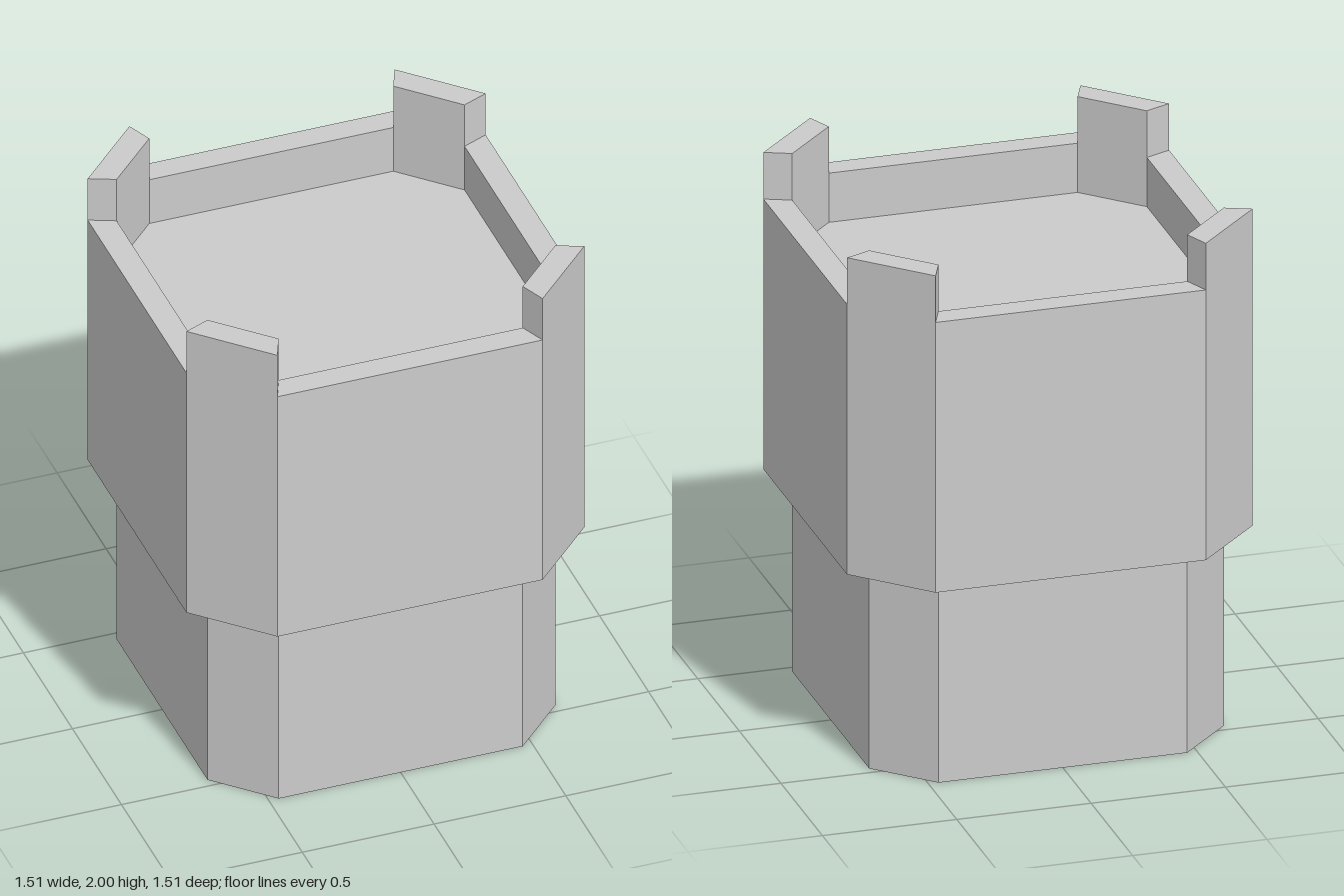
import * as THREE from 'three';

const material = new THREE.MeshStandardMaterial({ color: 0xcccccc, flatShading: true });

// Chamfered square: half width w, flat sides spanning -c..c
const ring = (w, c) => [[w, c], [c, w], [-c, w], [-w, c], [-w, -c], [-c, -w], [c, -w], [w, -c]];
const inner = ring(0.66, 0.463);
const outer = ring(0.755, 0.503);

const LEDGE = 0.777, FLOOR = 1.63, WALL = 1.82, TOP = 2;

// Mesh from a list of four-cornered faces
function quadMesh(name, quads) {
  const geometry = new THREE.BufferGeometry();
  const points = quads.flatMap(([a, b, c, d]) => [a, b, c, a, c, d].flat());
  geometry.setAttribute('position', new THREE.Float32BufferAttribute(points, 3));
  geometry.computeVertexNormals();
  const mesh = new THREE.Mesh(geometry, material);
  mesh.name = name;
  return mesh;
}

// One side's strip of faces along a profile of [ring, height] steps
function strip(i, profile) {
  const j = (i + 1) % 8;
  const at = ([r, y], k) => [r[k][0], y, r[k][1]];
  return profile.slice(1).map((next, n) => {
    const prev = profile[n];
    return [at(prev, j), at(prev, i), at(next, i), at(next, j)];
  });
}

// Flat octagonal cap facing up (1) or down (-1)
function cap(name, y, facing) {
  const shape = new THREE.Shape(inner.map(([x, z]) => new THREE.Vector2(x, z)));
  const geometry = new THREE.ShapeGeometry(shape);
  geometry.rotateX(-facing * Math.PI / 2).translate(0, y, 0);
  const mesh = new THREE.Mesh(geometry, material);
  mesh.name = name;
  return mesh;
}

// End face of a corner post, at ring point k
function postEnd(k, flip) {
  const [ox, oz] = outer[k], [ix, iz] = inner[k];
  const quad = [[ox, WALL, oz], [ix, WALL, iz], [ix, TOP, iz], [ox, TOP, oz]];
  return flip ? quad.reverse() : quad;
}

export function createModel() {
  const group = new THREE.Group();
  group.name = 'tower';
  const sides = [0, 1, 2, 3, 4, 5, 6, 7];

  // Narrow lower shaft and the wider ledge above it
  group.add(cap('base', 0, -1));
  group.add(quadMesh('shaft', sides.flatMap(i => strip(i, [[inner, 0], [inner, LEDGE]]))));
  group.add(quadMesh('ledgeUnderside', sides.flatMap(i => strip(i, [[inner, LEDGE], [outer, LEDGE]]))));

  // Upper walls: low parapets on the flat sides, tall posts on the corners
  for (const i of sides) {
    const isCorner = i % 2 === 0;
    const top = isCorner ? TOP : WALL;
    const faces = strip(i, [[outer, LEDGE], [outer, top], [inner, top], [inner, FLOOR]]);
    if (isCorner) faces.push(postEnd(i, false), postEnd(i + 1, true));
    group.add(quadMesh(isCorner ? 'cornerPost' : 'parapetWall', faces));
  }

  // Sunken roof floor
  group.add(cap('roofFloor', FLOOR, 1));
  return group;
}
